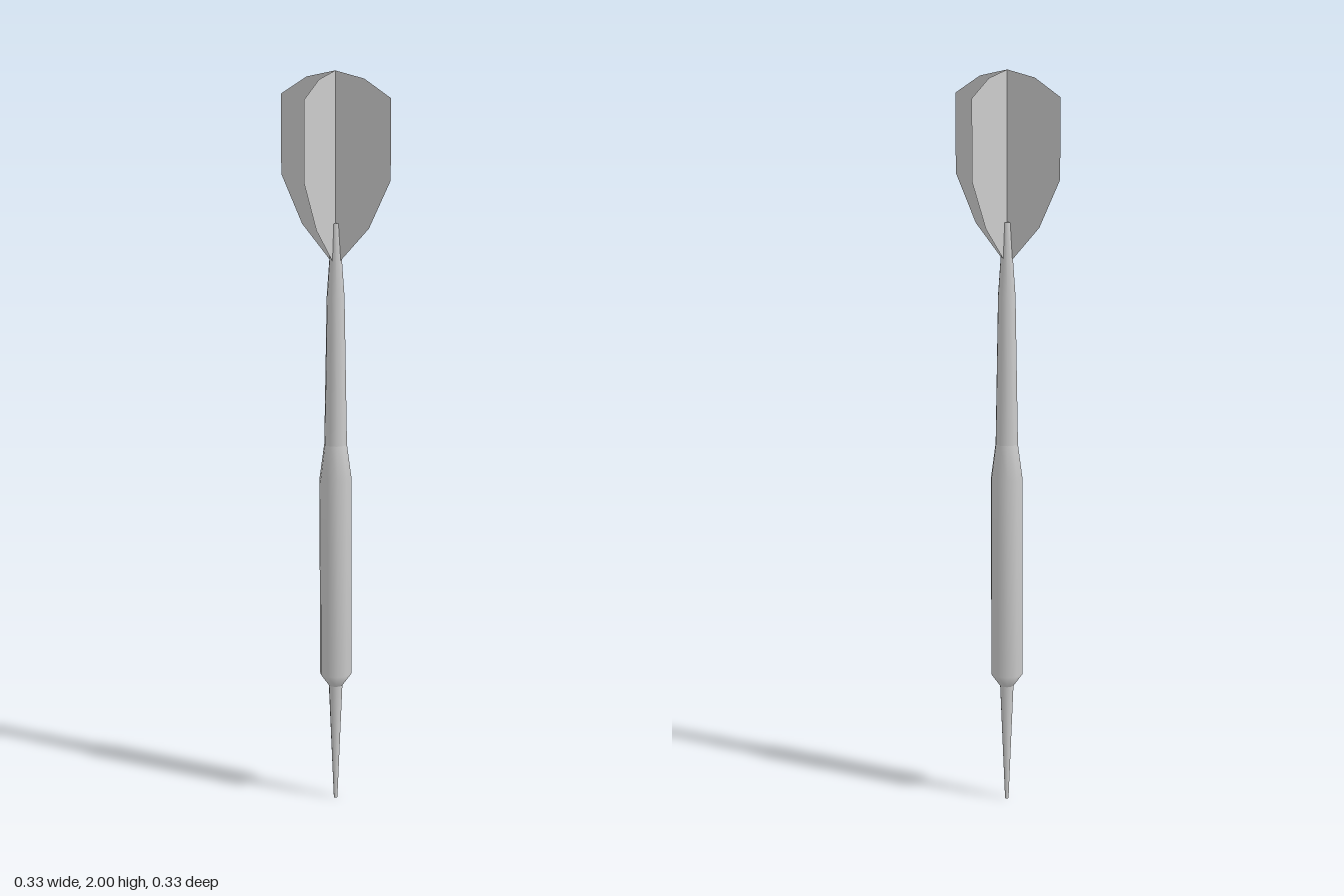
import * as THREE from 'three';

export function createModel() {
  const group = new THREE.Group();
  const material = new THREE.MeshStandardMaterial({ color: 0xcccccc });
  const thin = new THREE.MeshStandardMaterial({ color: 0xcccccc, side: THREE.DoubleSide });

  // Ten-sided turned part from [radius, height] pairs
  function turned(name, profile) {
    const points = profile.map(([r, y]) => new THREE.Vector2(r, y));
    const mesh = new THREE.Mesh(new THREE.LatheGeometry(points, 10), material);
    mesh.name = name;
    mesh.position.z = -0.002;
    group.add(mesh);
  }

  // Needle point, weighted barrel and tapering shaft
  turned('point', [[0, 0], [0.005, 0], [0.019, 0.33]]);
  turned('barrel', [[0.019, 0.33], [0.044, 0.365], [0.044, 0.915], [0.031, 1.01]]);
  turned('shaft', [[0.031, 1.01], [0.024, 1.41], [0.01, 1.605], [0, 1.605]]);

  // Four paper-thin fins around the axis
  const outline = [[0, 1.49], [0.1, 1.597], [0.163, 1.725], [0.163, 1.935], [0.085, 1.982], [0, 2]];
  const finShape = new THREE.Shape(outline.map(([x, y]) => new THREE.Vector2(x, y)));
  const finGeometry = new THREE.ShapeGeometry(finShape);
  const flight = new THREE.Group();
  flight.name = 'flight';
  for (let i = 0; i < 4; i++) {
    const fin = new THREE.Mesh(finGeometry, thin);
    fin.name = 'fin' + (i + 1);
    fin.rotation.y = (i * Math.PI) / 2;
    flight.add(fin);
  }
  group.add(flight);
  return group;
}
